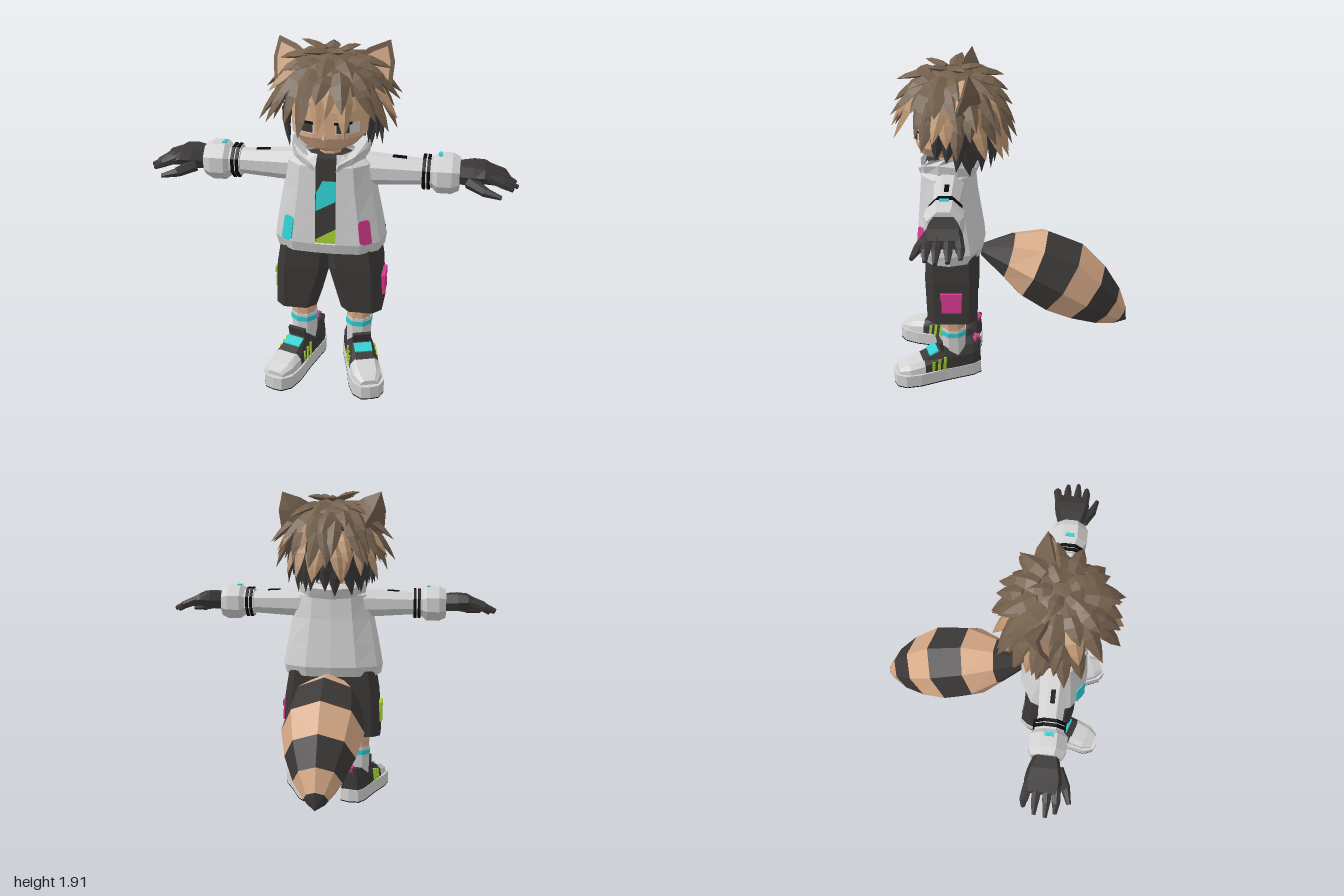
import * as THREE from 'three';
import { ConvexGeometry } from 'three/addons/geometries/ConvexGeometry.js';

const V = (x, y, z) => new THREE.Vector3(x, y, z);
const mat = (name, color, side = THREE.FrontSide) => {
  const m = new THREE.MeshStandardMaterial({ color, side });
  m.name = name;
  return m;
};

export function createModel() {
  const root = new THREE.Group();
  root.name = 'character';
  const grey = mat('light grey', 0xd2d2d2, THREE.DoubleSide), dark = mat('charcoal', 0x3c3838);
  const tan = mat('tan', 0xd8ab88), brown = mat('hair brown', 0x74604d), black = mat('black', 0x0a0a0a);
  const cyan = mat('cyan', 0x2fd0d2), pink = mat('pink', 0xd93a90), green = mat('lime', 0xa2cc34);
  const hairTan = mat('hair tan', 0xb89270), eyeBrown = mat('eye brown', 0x423830);

  // Faceted mesh
  const add = (parent, name, geo, material) => {
    const g = geo.index ? geo.toNonIndexed() : geo;
    g.computeVertexNormals();
    const m = new THREE.Mesh(g, material);
    m.name = name;
    parent.add(m);
    return m;
  };
  // Skin between cross-sections, wound outward
  const loft = (rings, closed = true) => {
    const n = rings[0].length, idx = [], pts = rings.flat();
    for (let i = 0; i < rings.length - 1; i++)
      for (let j = 0; j < (closed ? n : n - 1); j++) {
        const a = i * n + j, b = i * n + (j + 1) % n;
        idx.push(a, b, b + n, a, b + n, a + n);
      }
    if (closed) for (let j = 1; j < n - 1; j++) {
      const e = (rings.length - 1) * n;
      idx.push(0, j + 1, j, e, e + j, e + j + 1);
    }
    let vol = 0;
    for (let i = 0; i < idx.length; i += 3)
      vol += pts[idx[i]].dot(pts[idx[i + 1]].clone().cross(pts[idx[i + 2]]));
    if (vol < 0) idx.reverse();
    return new THREE.BufferGeometry().setFromPoints(pts).setIndex(idx);
  };
  const mirrorRing = half => [...half, ...half.slice(0, -1).reverse().map(p => V(-p.x, p.y, p.z))];
  const chamfer = (y, x0, x1, z0, z1, c) => [V(x0 + c, y, z0), V(x1 - c, y, z0), V(x1, y, z0 + c), V(x1, y, z1 - c),
    V(x1 - c, y, z1), V(x0 + c, y, z1), V(x0, y, z1 - c), V(x0, y, z0 + c)];
  const box = (parent, name, size, pos, material, rot = [0, 0, 0]) => {
    const m = add(parent, name, new THREE.BoxGeometry(...size), material);
    m.position.set(...pos);
    m.rotation.set(...rot);
    return m;
  };
  // Tapered rod between two points
  const rod = (parent, name, a, b, r0, r1, material, sides = 8) => {
    const d = b.clone().sub(a);
    const m = add(parent, name, new THREE.CylinderGeometry(r1, r0, d.length(), sides, 1, false, Math.PI / sides), material);
    m.position.copy(a).addScaledVector(d, 0.5);
    m.quaternion.setFromUnitVectors(V(0, 1, 0), d.normalize());
    return m;
  };
  const plate = (parent, name, pts, zAt, material) => {
    const g = new THREE.ShapeGeometry(new THREE.Shape(pts.map(p => new THREE.Vector2(...p))));
    const p = g.attributes.position;
    for (let i = 0; i < p.count; i++) p.setZ(i, zAt(p.getX(i), p.getY(i)));
    return add(parent, name, g, material);
  };

  // Jacket, open at the front, over a shirt
  const frontZ = y => 0.545 - (y - 0.86) * 0.09;
  const half = (y, rx, zF, zB, gap) => [V(gap, y, zF), V(rx * 0.6, y, zF - 0.01), V(rx * 0.92, y, zF - 0.08),
    V(rx, y, (zF + zB) / 2), V(rx * 0.9, y, zB + 0.08), V(rx * 0.5, y, zB + 0.01), V(0, y, zB)];
  const body = [[0.86, 0.31, 0.15], [1.0, 0.285, 0.17], [1.15, 0.255, 0.19], [1.29, 0.235, 0.2]];
  const shell = body.map(([y, rx, zB]) => half(y, rx, frontZ(y), zB, 0.055));
  shell.push(half(1.35, 0.14, 0.47, 0.22, 0.05));
  add(root, 'jacket', loft(shell.map(mirrorRing), false), grey);
  add(root, 'jacketHem', loft([half(0.8, 0.3, 0.53, 0.17, 0.055), shell[0]].map(mirrorRing)), grey);
  add(root, 'shirt', loft([...body, [1.33, 0.12, 0.24]].map(([y, rx, zB]) =>
    mirrorRing(half(y, rx - 0.03, frontZ(y) - 0.02, zB + 0.03, 0.055)))), dark);
  const shirtZ = (x, y) => frontZ(y) - 0.015;
  plate(root, 'shirtBand', [[-0.055, 1.04], [0.055, 1.1], [0.055, 1.21], [-0.02, 1.21], [-0.055, 1.14]], shirtZ, cyan);
  plate(root, 'shirtHemPatch', [[-0.055, 0.86], [0.055, 0.86], [0.055, 0.945], [-0.055, 0.88]], shirtZ, green);
  for (const [s, m] of [[1, pink], [-1, cyan]]) {
    const at = (u, v, o) => shell[0][1].clone().lerp(shell[0][2], u).lerp(shell[1][1].clone().lerp(shell[1][2], u), v)
      .add(V(0.58 * o, 0, 0.81 * o));
    const quad = o => [at(0, 0.12, o), at(0.15, 0.02, o), at(0.55, 0.02, o), at(0.6, 0.12, o),
      at(0.6, 0.9, o), at(0.5, 0.98, o), at(0.1, 0.98, o), at(0, 0.88, o)];
    add(root, 'jacketPatch', loft([quad(-0.003), quad(0.006)]), m).scale.x = s;
  }
  // Folded hood around the neck
  const collar = [
    [V(0.05, 1.27, 0.515), V(0.12, 1.28, 0.49), V(0.19, 1.29, 0.4), V(0.2, 1.29, 0.3), V(0.13, 1.28, 0.21), V(0, 1.27, 0.19)],
    [V(0.07, 1.31, 0.52), V(0.15, 1.35, 0.485), V(0.2, 1.37, 0.4), V(0.21, 1.36, 0.29), V(0.14, 1.34, 0.19), V(0, 1.33, 0.165)],
    [V(0.12, 1.35, 0.48), V(0.19, 1.4, 0.44), V(0.2, 1.41, 0.36), V(0.18, 1.4, 0.29), V(0.12, 1.37, 0.21), V(0, 1.36, 0.19)],
    [V(0.08, 1.32, 0.46), V(0.12, 1.35, 0.42), V(0.13, 1.35, 0.36), V(0.12, 1.34, 0.3), V(0.08, 1.33, 0.25), V(0, 1.32, 0.24)]];
  add(root, 'hoodCollar', loft(collar.map(mirrorRing), false), grey);
  rod(root, 'neck', V(0, 1.28, 0.35), V(0, 1.44, 0.35), 0.06, 0.06, tan);

  // Limbs, mirrored for each side
  for (const s of [1, -1]) {
    const side = new THREE.Group();
    side.name = s > 0 ? 'leftSide' : 'rightSide';
    side.scale.x = s;
    root.add(side);

    // Arm: sleeve, straps and cuff
    const arm = (name, x0, x1, r0, r1, m) => rod(side, name, V(x0, 1.237, 0.345), V(x1, 1.237, 0.345), r0, r1, m);
    arm('sleeve', 0.18, 0.5, 0.092, 0.07, grey);
    arm('strap', 0.495, 0.512, 0.095, 0.095, black);
    arm('strap', 0.52, 0.537, 0.095, 0.095, black);
    arm('strapBase', 0.49, 0.56, 0.086, 0.086, grey);
    arm('cuff', 0.55, 0.575, 0.088, 0.11, grey);
    arm('cuff', 0.575, 0.65, 0.11, 0.11, grey);
    arm('cuff', 0.65, 0.69, 0.11, 0.09, grey);
    box(side, 'sleeveTab', [0.075, 0.01, 0.025], [0.37, 1.312, 0.345], black, [0, 0, -0.06]);
    box(side, 'cuffTab', [0.02, 0.008, 0.05], [0.585, 1.341, 0.345], cyan);

    // Hand
    const slab = (x, y, h, z0, z1) => [V(x, y - h, z0 + 0.02), V(x, y - h, z1 - 0.02), V(x, y, z1), V(x, y + h, z1 - 0.02),
      V(x, y + h, z0 + 0.02), V(x, y, z0)];
    add(side, 'palm', loft([slab(0.67, 1.245, 0.05, 0.28, 0.41), slab(0.76, 1.25, 0.05, 0.25, 0.43),
      slab(0.82, 1.255, 0.038, 0.24, 0.44), slab(0.88, 1.235, 0.024, 0.245, 0.435)]), dark);
    [[0.265, 0.25, 0.95], [0.315, 0.31, 0.985], [0.365, 0.37, 0.995], [0.412, 0.42, 0.97]].forEach(([z0, z1, x]) => {
      rod(side, 'finger', V(0.84, 1.25, z0), V(0.92, 1.22, z1), 0.027, 0.024, dark, 6);
      rod(side, 'fingerTip', V(0.915, 1.222, z1), V(x, 1.192, z1), 0.024, 0.012, dark, 6);
    });
    rod(side, 'thumb', V(0.74, 1.22, 0.41), V(0.83, 1.19, 0.465), 0.036, 0.026, dark, 6);
    rod(side, 'thumbTip', V(0.825, 1.19, 0.462), V(0.91, 1.175, 0.49), 0.026, 0.012, dark, 6);

    // Shorts leg with cargo pocket
    add(side, 'shortsLeg', loft([chamfer(0.42, 0.07, 0.3, 0.2, 0.49, 0.05), chamfer(0.68, 0, 0.287, 0.195, 0.495, 0.045),
      chamfer(0.83, 0, 0.262, 0.2, 0.49, 0.04)]), dark);
    const pocketMat = s > 0 ? pink : green;
    box(side, 'pocket', [0.02, 0.12, 0.115], [0.298, 0.56, 0.345], pocketMat, [0, 0, 0.05]);
    box(side, 'pocketFlap', [0.024, 0.035, 0.125], [0.3, 0.605, 0.345], pocketMat, [0, 0, 0.05]);

    // Leg and sock
    rod(side, 'leg', V(0.16, 0.3, 0.345), V(0.16, 0.5, 0.345), 0.072, 0.078, tan);
    rod(side, 'sock', V(0.16, 0.12, 0.345), V(0.16, 0.33, 0.345), 0.07, 0.076, grey);
    rod(side, 'sockStripe', V(0.16, 0.282, 0.345), V(0.16, 0.312, 0.345), 0.079, 0.079, cyan);

    // Shoe, toes turned out
    const shoe = new THREE.Group();
    shoe.name = 'shoe';
    shoe.position.set(0.16, 0, 0.345);
    shoe.rotation.y = 0.31;
    side.add(shoe);
    const sole = y => mirrorRing([V(0, y, 0.375), V(0.05, y, 0.368), V(0.088, y, 0.32), V(0.098, y, 0.23),
      V(0.085, y, 0.08), V(0.08, y, -0.1), V(0.06, y, -0.15), V(0, y, -0.165)]).slice(0, -1);
    add(shoe, 'sole', loft([sole(0.006), sole(0.08)]), grey);
    add(shoe, 'soleBottom', loft([sole(0), sole(0.006)]), black);
    const cut = (z, w, h) => [V(w, 0.078, z), V(w * 0.93, 0.08 + h * 0.6, z), V(w * 0.6, 0.08 + h, z),
      V(-w * 0.6, 0.08 + h, z), V(-w * 0.93, 0.08 + h * 0.6, z), V(-w, 0.078, z)];
    add(shoe, 'shoeUpper', loft([cut(-0.15, 0.055, 0.12), cut(-0.1, 0.075, 0.125), cut(0, 0.08, 0.115),
      cut(0.07, 0.08, 0.125), cut(0.22, 0.085, 0.065)]), dark);
    add(shoe, 'toeCap', loft([cut(0.2, 0.088, 0.072), cut(0.29, 0.083, 0.05), cut(0.35, 0.05, 0.025)]), grey);
    box(shoe, 'tongue', [0.105, 0.1, 0.02], [0, 0.2, 0.085], dark, [0.2, 0, 0]);
    box(shoe, 'laceStrap', [0.1, 0.009, 0.06], [0, 0.184, 0.137], cyan, [0.38, 0, 0]);
    box(shoe, 'heelCounter', [0.1, 0.1, 0.02], [0, 0.17, -0.135], dark, [-0.2, 0, 0]);
    box(shoe, 'heelTab', [0.045, 0.05, 0.03], [0, 0.205, -0.14], pink, [-0.35, 0, 0]);
    for (const e of [1, -1]) for (let i = 0; i < 3; i++)
      box(shoe, 'shoeStripe', [0.009, 0.08 - i * 0.01, 0.016], [e * 0.08, 0.122 - i * 0.005, 0.08 + i * 0.035], green, [-0.12, 0, e * 0.07]);

    // Pointed ear
    const earZ = (x, y) => 0.3 - 0.08 * ((x - 0.31) * 0.606 + (y - 1.66) * 0.795) / 0.187;
    const rim = [[0.31, 1.66], [0.322, 1.8], [0.295, 1.91], [0.19, 1.875], [0.1, 1.82]];
    add(side, 'ear', new ConvexGeometry([...rim.map(([x, y]) => V(x, y, earZ(x, y))), V(0.18, 1.68, 0.15), V(0.25, 1.8, 0.17)]), brown);
    plate(side, 'innerEar', rim.map(([x, y]) => [0.25 + (x - 0.25) * 0.7, 1.8 + (y - 1.8) * 0.72]),
      (x, y) => earZ(x, y) + 0.006, tan);

    // Eye plates following the face curve
    const eye = (name, x0, x1, y0, y1, off, m) => {
      const g = new THREE.PlaneGeometry(x1 - x0, y1 - y0, 5, 1).translate((x0 + x1) / 2, (y0 + y1) / 2, 0);
      const p = g.attributes.position;
      for (let i = 0; i < p.count; i++)
        p.setZ(i, 0.32 + 0.215 * Math.pow(1 - Math.pow(p.getX(i) / 0.205, 2.4), 1 / 2.4) + off);
      add(side, name, g, m);
    };
    eye('eyeWhite', 0.055, 0.172, 1.485, 1.545, 0.004, grey);
    eye('iris', 0.062, 0.125, 1.492, 1.54, 0.007, eyeBrown);
    eye('lash', 0.05, 0.14, 1.538, 1.552, 0.009, black);
  }

  // Head with a tucked chin
  const headRing = ([y, rx, rz, cz]) => Array.from({ length: 24 }, (_, i) => {
    const a = i / 24 * Math.PI * 2, c = Math.cos(a), d = Math.sin(a), q = 2 / 2.4;
    return V(rx * Math.sign(d) * Math.abs(d) ** q, y, cz + rz * Math.sign(c) * Math.abs(c) ** q);
  });
  add(root, 'head', loft([[1.365, 0.06, 0.1, 0.36], [1.4, 0.15, 0.175, 0.335], [1.46, 0.205, 0.215, 0.32],
    [1.6, 0.205, 0.215, 0.32], [1.72, 0.18, 0.19, 0.32]].map(headRing)), tan);
  const nose = add(root, 'nose', new THREE.ConeGeometry(0.016, 0.035, 4), tan);
  nose.position.set(0, 1.475, 0.535);

  // Hair: scalp caps covered with rows of curved pointed locks
  const C = V(0, 1.62, 0.32), R = V(0.25, 0.25, 0.25), deg = Math.PI / 180;
  const cap = (name, m, ...args) => {
    const c = add(root, name, new THREE.SphereGeometry(1, 18, 7, ...args), m);
    c.position.copy(C);
    c.scale.copy(R);
  };
  cap('scalp', brown, 0, Math.PI * 2, 0, 75 * deg);
  cap('hairUnderlayer', dark, Math.PI - 0.1, Math.PI + 0.2, 70 * deg, 65 * deg);
  let seed = 7;
  const rnd = () => (seed = (seed * 16807) % 2147483647) / 2147483647;
  const lock = (theta, az, len, width, lift, m) => {
    const st = Math.sin(theta), ct = Math.cos(theta), sa = Math.sin(az), ca = Math.cos(az);
    const n = V(st * sa, ct, st * ca), down = V(ct * sa, -st, ct * ca), across = V(ca, 0, -sa);
    const dir = down.multiplyScalar(Math.cos(lift)).addScaledVector(n, Math.sin(lift)).addScaledVector(across, (rnd() - 0.5) * 0.5);
    const base = n.clone().multiply(R).add(C);
    const rings = [[0, 0.7], [0.35, 1], [0.7, 0.65], [1, 0.03]].map(([t, w]) => {
      const p = base.clone().addScaledVector(dir, len * t);
      p.y -= len * 0.12 * t * t;
      return [[1, 0], [0, 0.5], [-1, 0], [0, -0.5]].map(([u, v]) =>
        p.clone().addScaledVector(across, u * w * width).addScaledVector(n, v * w * width));
    });
    add(root, 'hairLock', loft(rings), m);
  };
  // polar angle, count, length, width, lift, first azimuth, share of tan, base colour
  const rows = [[8, 5, 0.14, 0.04, 0.45, 0, 0, brown], [28, 11, 0.18, 0.05, 0.3, 0, 0.08, brown],
    [46, 16, 0.2, 0.05, 0.2, 0, 0.15, brown], [62, 20, 0.2, 0.045, 0.12, 0, 0.2, brown],
    [76, 22, 0.19, 0.045, 0.35, 52, 0.45, brown], [92, 22, 0.18, 0.045, 0.4, 112, 0.75, brown],
    [98, 24, 0.19, 0.042, 0.08, 68, 0, dark], [112, 22, 0.17, 0.042, 0.3, 95, 0, dark]];
  rows.forEach(([th, count, len, width, lift, from, share, base], r) => {
    for (let i = 0; i < count; i++) {
      const a = (i + (r % 2) * 0.5) / count * 360 - 180;
      if (Math.abs(a) < from) continue;
      const isTan = rnd() < share * (Math.abs(a) > 100 ? 1.4 : 0.7);
      lock((th + (rnd() - 0.5) * 8) * deg, a * deg, len * (0.8 + rnd() * 0.4), width, lift + (rnd() - 0.5) * 0.2, isTan ? hairTan : base);
    }
  });

  // Ringed tail: y, z and radius along its length
  const tail = [[0.76, 0.17, 0.04], [0.72, 0.015, 0.145], [0.67, -0.13, 0.225], [0.58, -0.3, 0.245],
    [0.475, -0.445, 0.205], [0.375, -0.575, 0.14], [0.305, -0.66, 0.07], [0.265, -0.71, 0.004]];
  const tailRings = tail.map(([y, z, r], i) => {
    const p = tail[Math.max(i - 1, 0)], q = tail[Math.min(i + 1, tail.length - 1)];
    const l = Math.hypot(q[0] - p[0], q[1] - p[1]), uy = (p[1] - q[1]) / l, uz = (q[0] - p[0]) / l;
    return Array.from({ length: 8 }, (_, k) => {
      const a = k * Math.PI / 4, v = r * Math.sin(a);
      return V(r * 0.96 * Math.cos(a), y + uy * v, z + uz * v);
    });
  });
  for (let i = 0; i < 7; i++)
    add(root, 'tailBand', loft([tailRings[i], tailRings[i + 1]]), i % 2 ? tan : dark);

  return root;
}
